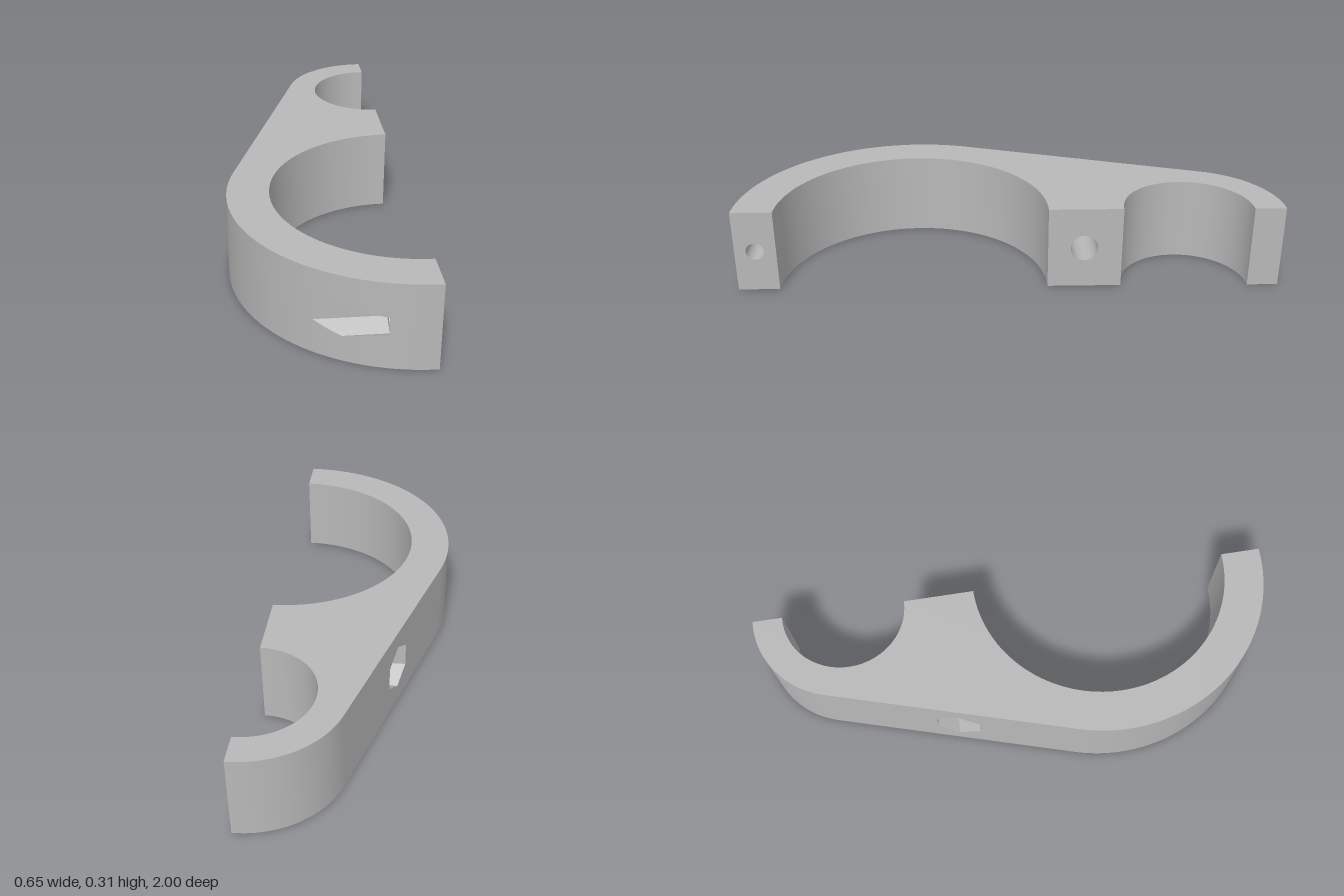
import * as THREE from 'three';

const H = 0.313, MID = H / 2;
const END = 0.32, TIP = 0.327;                        // cut faces on the +x side
const big = { z: 0.353, R: 0.647, r: 0.495 };         // large ring seat
const small = { z: -0.65, R: 0.35, r: 0.236 };        // small ring seat
const tangent = -Math.asin((big.R - small.R) / (big.z - small.z));
const screws = {
  front: { z: 0.925, bore: 0.033, nut: 0.063, floor: 0.17 },
  middle: { z: -0.275, bore: 0.05, nut: 0.091, floor: -0.06 },
};

const V = (x, y, z) => new THREE.Vector3(x, y, z);
const lerp = THREE.MathUtils.lerp;
// Point on a ring arc in plan; 0 points to -x, +90 degrees to +z
const onArc = (c, R, a) => [END - R * Math.cos(a), c.z + R * Math.sin(a)];
const arc = (c, R, a0, a1) => t => onArc(c, R, lerp(a0, a1, t));
const line = (p, q) => t => [lerp(p[0], q[0], t), lerp(p[1], q[1], t)];
const sample = (f, n) => Array.from({ length: n + 1 }, (_, i) => f(i / n));
// Outer skin x at a given z: on the large arc, and on the sloped back
const xArc = z => END - Math.sqrt(big.R ** 2 - (z - big.z) ** 2);
const slopeA = onArc(small, small.R, tangent), slopeB = onArc(big, big.R, tangent);
const xSlope = z => lerp(slopeA[0], slopeB[0], (z - slopeA[1]) / (slopeB[1] - slopeA[1]));
// Corners [z, y] of a hexagon standing on a point, starting at the bottom
const hexagon = s => Array.from({ length: 6 }, (_, k) => {
  const a = k * Math.PI / 3;
  return [s.z + s.nut * Math.sin(a), MID - s.nut * Math.cos(a)];
});
const circle = s => sample(t => [s.z + s.bore * Math.sin(-t * 2 * Math.PI),
  MID + s.bore * Math.cos(t * 2 * Math.PI)], 32).slice(0, 32);

// Surface spanned between two curves
function ruled(a, b, n) {
  const pts = [], index = [];
  for (let i = 0; i <= n; i++) {
    pts.push(a(i / n), b(i / n));
    if (i < n) index.push(2 * i, 2 * i + 2, 2 * i + 1, 2 * i + 2, 2 * i + 3, 2 * i + 1);
  }
  const g = new THREE.BufferGeometry().setFromPoints(pts);
  g.setIndex(index);
  g.computeVertexNormals();
  return g;
}

// Upright wall along a plan path, between heights lo(z) and hi(z)
const wall = (path, n, lo = () => 0, hi = () => H) => ruled(
  t => { const [x, z] = path(t); return V(x, lo(z), z); },
  t => { const [x, z] = path(t); return V(x, hi(z), z); }, n);

// Plate outlined in [z, y], facing +x (dir 1) or -x (dir -1), placed at x(z)
function plate(dir, outline, hole, x) {
  const to = pts => pts.map(([z, y]) => new THREE.Vector2(-dir * z, y));
  const shape = new THREE.Shape(to(outline));
  if (hole) shape.holes.push(new THREE.Path(to(hole)));
  const g = new THREE.ShapeGeometry(shape).rotateY(dir * Math.PI / 2);
  const p = g.attributes.position;
  for (let i = 0; i < p.count; i++) p.setX(i, x(p.getZ(i)));
  g.computeVertexNormals();
  return g;
}
const rect = (z0, z1) => [[z0, 0], [z1, 0], [z1, H], [z0, H]];

export function createModel() {
  const group = new THREE.Group();
  const grey = new THREE.MeshStandardMaterial({ color: 0xb8b8b8 });
  grey.name = 'plainGrey';
  const add = (name, ...geometries) => {
    const part = new THREE.Group();
    part.name = name;
    geometries.forEach(g => {
      const m = new THREE.Mesh(g, grey);
      m.name = name;
      part.add(m);
    });
    group.add(part);
  };

  const q = Math.PI / 2, { front, middle } = screws;
  const half = front.nut * Math.sqrt(3) / 2;
  const angleAt = z => Math.asin((z - big.z) / big.R);
  const zA = front.z - half, zB = front.z + half;

  // Plan paths, running round the body
  const tipOut = line([TIP, small.z - small.R], [END, small.z - small.R]);
  const smallOut = arc(small, small.R, -q, tangent);
  const bigOut1 = arc(big, big.R, tangent, angleAt(zA));
  const pocketOut = t => { const z = lerp(zA, zB, t); return [xArc(z), z]; };
  const bigOut2 = arc(big, big.R, angleAt(zB), q);
  const bigIn = arc(big, big.r, q, -q);
  const smallIn = arc(small, small.r, q, -q);
  const tipIn = line([END, small.z - small.r], [TIP, small.z - small.r]);

  // Top and bottom faces
  const plan = [[tipOut, 1], [smallOut, 32], [bigOut1, 48], [pocketOut, 16], [bigOut2, 10],
    [bigIn, 64], [smallIn, 48], [tipIn, 1]].flatMap(([f, n]) => sample(f, n));
  const clean = plan.filter((p, i) => {
    const o = plan[(i + 1) % plan.length];
    return Math.hypot(p[0] - o[0], p[1] - o[1]) > 1e-5;
  });
  const cap = s => new THREE.ShapeGeometry(
    new THREE.Shape(clean.map(([x, z]) => new THREE.Vector2(x, -s * z)))).rotateX(-s * q);
  add('topFace', cap(1).translate(0, H, 0));
  add('bottomFace', cap(-1));

  // Outer skin, leaving the two nut pocket openings
  const rise = z => front.nut * (1 - 0.5 * Math.abs(z - front.z) / half);
  add('smallRingOuterWall', wall(tipOut, 1), wall(smallOut, 32));
  add('slopedBack', plate(-1, rect(slopeA[1], slopeB[1]), hexagon(middle), xSlope));
  add('largeRingOuterWall', wall(bigOut1, 48),
    wall(pocketOut, 16, () => 0, z => MID - rise(z)),
    wall(pocketOut, 16, z => MID + rise(z), () => H),
    wall(bigOut2, 10));

  // Ring seats
  add('largeRingSeat', wall(bigIn, 64));
  add('smallRingSeat', wall(smallIn, 48), wall(tipIn, 1));

  // Flat cut faces, two of them drilled
  add('smallTipFace', plate(1, rect(small.z - small.R, small.z - small.r), null, () => TIP));
  add('middleFace', plate(1, rect(small.z + small.r, big.z - big.r), circle(middle), () => END));
  add('largeTipFace', plate(1, rect(big.z + big.r, big.z + big.R), circle(front), () => END));

  // Hexagonal nut pockets and screw bores
  for (const [name, s, skin] of [['front', front, xArc], ['middle', middle, xSlope]]) {
    const hex = hexagon(s);
    add(name + 'NutPocket', plate(-1, hex, circle(s), () => s.floor),
      ...hex.map((p, k) => {
        const edge = line(p, hex[(k + 1) % 6]);
        return ruled(t => { const [z, y] = edge(t); return V(skin(z), y, z); },
          t => { const [z, y] = edge(t); return V(s.floor, y, z); }, 8);
      }));
    const rim = x => t => V(x, MID + s.bore * Math.cos(t * 4 * q), s.z - s.bore * Math.sin(t * 4 * q));
    add(name + 'ScrewBore', ruled(rim(s.floor), rim(END), 32));
  }
  return group;
}
